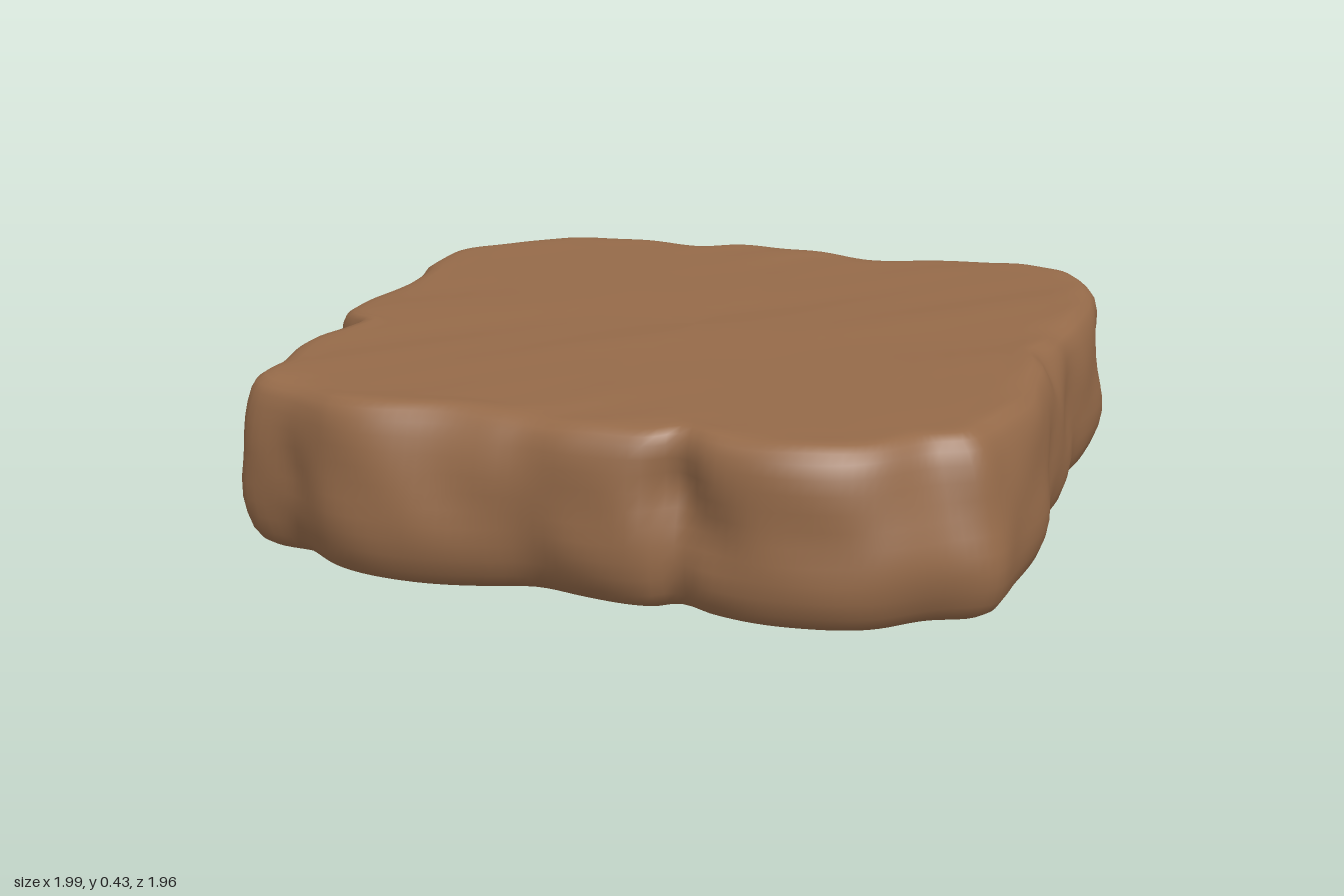
import * as THREE from 'three';

const SEGMENTS = 260;

// plan outline (x, z), clockwise from the back left corner
const OUTLINE = [
  [-1, -.67], [-.95, -.77], [-.86, -.89], [-.72, -.97], [-.52, -.995], [-.36, -.975], [-.24, -.965],
  [-.14, -.995], [.05, -.98], [.28, -.955], [.4, -.985], [.6, -1], [.74, -.975], [.87, -.91],
  [.95, -.79], [.99, -.6], [.985, -.35], [.965, -.2], [.98, 0], [.97, .2], [.99, .4], [.98, .6],
  [.975, .78], [.88, .87], [.73, .95], [.6, .98], [.44, .99], [.32, .965], [.23, .925], [.17, .96],
  [0, .965], [-.12, .95], [-.22, .965], [-.4, .98], [-.6, .965], [-.75, .91], [-.92, .81],
  [-.925, .6], [-.95, .4], [-.925, .3], [-.92, .2], [-.965, .17], [-.99, 0], [-.96, -.2],
  [-.96, -.35], [-.99, -.45],
];

// side profile (height, inset from the outline)
const PROFILE = [
  [.008, .075], [.022, .048], [.05, .024], [.09, .008], [.13, 0], [.17, 0], [.21, .004], [.25, .008],
  [.29, .011], [.33, .016], [.365, .024], [.395, .036], [.415, .052], [.428, .075], [.431, .1],
];

// worn areas: x, y, z, radius, depth
const DENTS = [
  [.9, .44, .86, .25, .1], [-.86, .44, -.88, .25, .07], [-.8, .44, .88, .22, .04],
  [-.78, .05, .92, .2, .06], [.88, .03, .88, .18, .05], [.3, .2, .97, .08, .025],
  [-.1, .04, .96, .16, .03], [.23, .3, .95, .06, .03], [-.93, .35, .22, .09, .04],
  [.97, .28, -.62, .09, .025], [.9, .05, -.88, .2, .05], [-.32, .44, .97, .15, .05],
  [.97, .42, 0, .08, .04], [.28, .4, -.97, .13, .03], [-.25, .1, -.98, .12, .03],
];

// gentle layered noise
function rough(x, y, z) {
  return .5 * Math.sin(7 * x + 5 * y + 3 * Math.sin(4 * z)) +
    .3 * Math.sin(13 * z - 17 * y + 2 * Math.sin(9 * x)) +
    .2 * Math.sin(23 * x + 21 * z + 25 * y);
}

// joins closed rings of equal length with smooth normals
function loft(rings, flip = false) {
  const index = [];
  for (let j = 0; j < rings.length - 1; j++) {
    for (let i = 0; i < SEGMENTS; i++) {
      const k = (i + 1) % SEGMENTS;
      const a = j * SEGMENTS + i, b = j * SEGMENTS + k;
      const c = a + SEGMENTS, d = b + SEGMENTS;
      if (flip) index.push(a, b, c, b, d, c);
      else index.push(a, c, b, b, c, d);
    }
  }
  const geometry = new THREE.BufferGeometry();
  geometry.setAttribute('position', new THREE.Float32BufferAttribute(rings.flat(2), 3));
  geometry.setIndex(index);
  geometry.computeVertexNormals();
  return geometry;
}

// one ring of the weathered side wall
function sideRing(outline, y, inset) {
  return outline.map(({ x, z }) => {
    const cx = THREE.MathUtils.clamp(x, -.6, .6), cz = THREE.MathUtils.clamp(z, -.6, .6);
    const length = Math.hypot(x - cx, z - cz);
    const fade = Math.sin(Math.PI * y / .44);
    let push = inset + fade * .01 * (1 + rough(x, y, z));
    for (const [dx, dy, dz, radius, depth] of DENTS) {
      const d2 = (x - dx) ** 2 + (y - dy) ** 2 + (z - dz) ** 2;
      push += depth * Math.exp(-d2 / (radius * radius));
    }
    const s = 1 - push / length;
    const lift = y > .4 ? .007 * rough(x, 0, z) : 0;
    return [cx + (x - cx) * s, y + lift, cz + (z - cz) * s];
  });
}

export function createModel() {
  const model = new THREE.Group();
  model.name = 'stoneSlab';
  const stone = new THREE.MeshStandardMaterial({ color: 0x956a49 });
  stone.name = 'brown stone';

  const curve = new THREE.CatmullRomCurve3(
    OUTLINE.map(([x, z]) => new THREE.Vector3(x, 0, z)), true, 'centripetal');
  const outline = curve.getSpacedPoints(SEGMENTS).slice(0, SEGMENTS);
  const sides = PROFILE.map(([y, inset]) => sideRing(outline, y, inset));

  // uneven top, shrinking from the rim to the centre
  const rim = sides[sides.length - 1];
  const top = [.97, .93, .87, .79, .7, .6, .5, .4, .3, .2, .1, 0].map((s) =>
    rim.map(([x, , z]) => [x * s, .431 + .004 * rough(x * s, 0, z * s), z * s]));

  const body = new THREE.Mesh(loft([...sides, ...top]), stone);
  body.name = 'weatheredBody';

  // flat underside with its own hard edge
  const base = sides[0];
  const underside = new THREE.Mesh(loft([base, base.map(() => [0, .008, 0])], true), stone);
  underside.name = 'flatUnderside';

  model.add(body, underside);
  return model;
}
